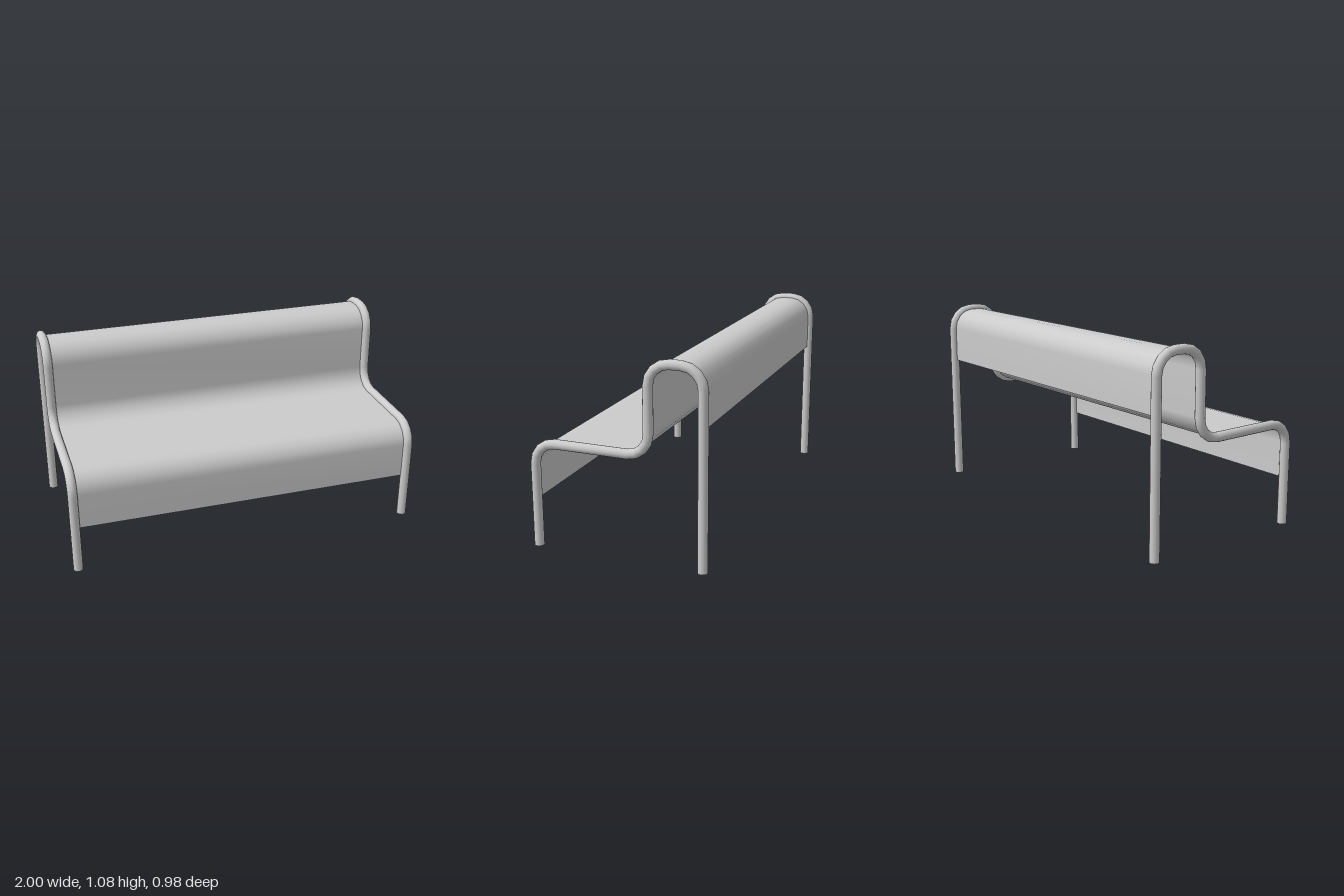
import * as THREE from 'three';

const TUBE_R = 0.0265, BEND_R = 0.115, SIDE_X = 0.9735;
const SIDES = 16, BEND_STEPS = 4;

// Side profile as stations { z, y, a }, a being the travel angle from +z towards +y
function sideProfile(frontEndY, backEndY) {
  const stations = [{ z: 0.4635, y: frontEndY, a: Math.PI / 2 }];
  // bends: centre z, centre y, start angle on the circle, turn direction
  const bends = [
    [0.3485, 0.46, 0, 1],               // front edge of the seat
    [-0.06, 0.69, -Math.PI / 2, -1],    // seat to backrest
    [-0.29, 0.9385, 0, 1],              // top of the backrest, front
    [-0.3485, 0.9385, Math.PI / 2, 1],  // top of the backrest, rear
  ];
  for (const [cz, cy, start, dir] of bends) {
    for (let i = 0; i <= BEND_STEPS; i++) {
      const t = start + dir * (Math.PI / 2) * (i / BEND_STEPS);
      stations.push({
        z: cz + BEND_R * Math.cos(t),
        y: cy + BEND_R * Math.sin(t),
        a: t + dir * Math.PI / 2,
      });
    }
  }
  stations.push({ z: -0.4635, y: backEndY, a: -Math.PI / 2 });
  return stations;
}

// Joins equal rows of points into a smooth surface
function skin(rows, closed) {
  const n = rows[0].length, index = [];
  for (let i = 0; i < rows.length - 1; i++) {
    for (let j = 0; j < (closed ? n : n - 1); j++) {
      const k = (j + 1) % n;
      const a = i * n + j, b = i * n + k, c = a + n, d = b + n;
      index.push(a, b, c, b, d, c);
    }
  }
  const geo = new THREE.BufferGeometry();
  geo.setAttribute('position', new THREE.Float32BufferAttribute(rows.flat(2), 3));
  geo.setIndex(index);
  geo.computeVertexNormals();
  return geo;
}

// Round ring of the tube, square to the direction of travel
function tubeRing({ z, y, a }) {
  return Array.from({ length: SIDES }, (_, j) => {
    const t = (j / SIDES) * Math.PI * 2;
    const across = TUBE_R * Math.sin(t);
    return [TUBE_R * Math.cos(t), y + across * Math.cos(a), z - across * Math.sin(a)];
  });
}

export function createModel() {
  const model = new THREE.Group();
  model.name = 'bench';
  const metal = new THREE.MeshStandardMaterial({ color: 0xcccccc });
  const sheetMetal = new THREE.MeshStandardMaterial({ color: 0xcccccc, side: THREE.DoubleSide });

  // Bent tube frames, one at each end, with closed feet
  const tubeGeo = skin(sideProfile(0, 0).map(tubeRing), true);
  const capGeo = new THREE.CircleGeometry(TUBE_R, SIDES).rotateX(Math.PI / 2);
  for (const [side, label] of [[1, 'left'], [-1, 'right']]) {
    const frame = new THREE.Group();
    frame.name = label + 'Frame';
    frame.position.x = side * SIDE_X;
    const tube = new THREE.Mesh(tubeGeo, metal);
    tube.name = label + 'Tube';
    frame.add(tube);
    for (const [z, end] of [[0.4635, 'Front'], [-0.4635, 'Back']]) {
      const cap = new THREE.Mesh(capGeo, metal);
      cap.name = label + end + 'FootCap';
      cap.position.z = z;
      frame.add(cap);
    }
    model.add(frame);
  }

  // Thin sheet forming seat and backrest, following the tubes
  const sheetRows = sideProfile(0.26, 0.74).map(({ z, y }) => [[-SIDE_X, y, z], [SIDE_X, y, z]]);
  const sheet = new THREE.Mesh(skin(sheetRows, false), sheetMetal);
  sheet.name = 'seatAndBackrestSheet';
  model.add(sheet);

  return model;
}
